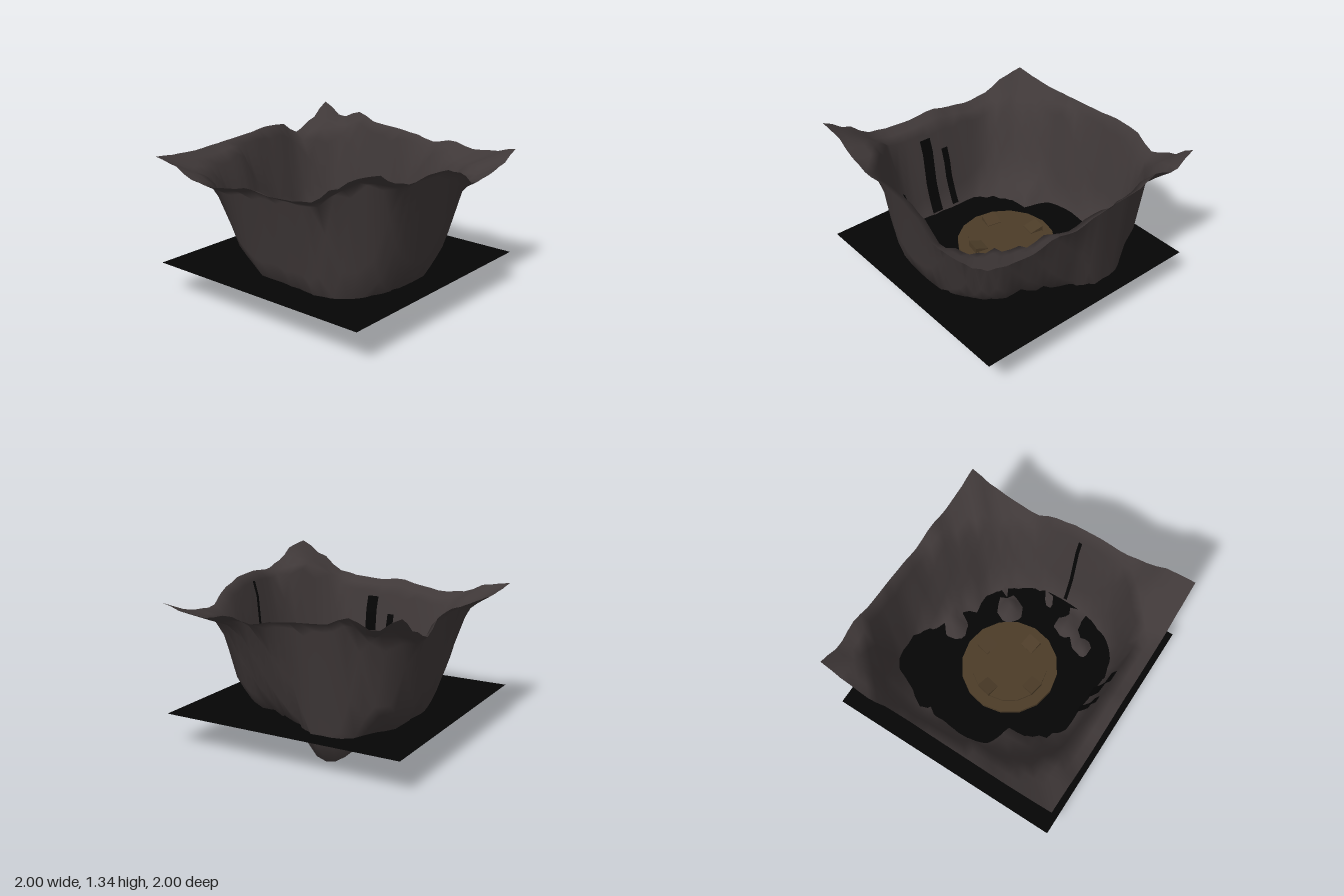
import * as THREE from 'three';

const POOL_Y = 0.265;

// Height along each border of the ground, from -1 to +1
const EDGES = {
  front: [1.14, 1.11, 1.03, 1.01, 1.04, 1.08, 1.06, 1.07, 1.1, 1.23, 1.34],
  back: [1.25, 1.14, 1.21, 1.14, 1.13, 1.11, 1.07, 1.11, 1.07, 1.09, 1.14],
  left: [1.14, 1.05, 1.01, 0.99, 1.12, 1.18, 1.19, 1.17, 1.22, 1.32, 1.34],
  right: [1.25, 1.12, 1.04, 1.15, 1.16, 1.14, 1.13, 1.12, 1.11, 1.12, 1.14],
};
// Radius of the cliff at its foot, a third of the way up and at its top,
// every 15 degrees from +x towards +z
const FOOT = [0.78, 0.79, 0.83, 0.87, 0.83, 0.73, 0.69, 0.71, 0.66, 0.57, 0.52, 0.69,
  0.71, 0.71, 0.82, 0.82, 0.94, 0.87, 0.71, 0.65, 0.62, 0.7, 0.73, 0.76];
const MID = [0.86, 0.88, 0.92, 0.92, 0.89, 0.81, 0.785, 0.81, 0.84, 0.82, 0.82, 0.8,
  0.82, 0.87, 0.97, 1.03, 0.985, 0.91, 0.82, 0.78, 0.78, 0.85, 0.87, 0.85];
const TOP = [0.91, 0.93, 0.97, 0.97, 0.94, 0.86, 0.845, 0.86, 0.95, 1.0, 0.96, 0.87,
  0.89, 0.95, 1.04, 1.09, 1.02, 0.95, 0.89, 0.89, 0.9, 0.94, 0.93, 0.92];
const MID_RISE = 0.35;
// Mounds and hollows of the crater floor: x, z, height, spread
const FLOOR = [
  [-0.28, 0.36, -0.17, 0.15], [-0.29, -0.76, -0.13, 0.19],
  [0.05, -0.58, 0.2, 0.125], [0.44, -0.28, 0.2, 0.13], [0.28, -0.52, 0.13, 0.05],
  [0.68, -0.04, 0.15, 0.06], [0.56, 0.19, 0.16, 0.12], [0.67, 0.24, 0.1, 0.07], [0.48, 0.42, 0.17, 0.1],
  [-0.66, -0.34, 0.14, 0.08],
];

const smooth = (t) => t * t * (3 - 2 * t);

function sample(list, u, closed) {
  const i = closed ? Math.floor(u) : Math.min(Math.floor(u), list.length - 2);
  const a = list[i % list.length], b = list[(i + 1) % list.length];
  return THREE.MathUtils.lerp(a, b, smooth(u - i));
}

function borderHeight(x, z) {
  const m = Math.max(Math.abs(x), Math.abs(z));
  const at = (list, s) => sample(list, THREE.MathUtils.clamp((s / m + 1) * 5, 0, 10), false);
  if (Math.abs(x) >= Math.abs(z)) return at(x > 0 ? EDGES.left : EDGES.right, z);
  return at(z > 0 ? EDGES.front : EDGES.back, x);
}

// Crater rule: uneven floor, steep cliff, then a flaring rim
function groundHeight(x, z) {
  const r = Math.hypot(x, z);
  const u = ((Math.atan2(z, x) / (Math.PI * 2) + 1) % 1) * 24;
  const [foot, mid, top] = [FOOT, MID, TOP].map((list) => sample(list, u, true));

  if (r < foot) {
    let y = 0.17;
    for (const [cx, cz, h, s] of FLOOR) {
      y += h * Math.exp(-((x - cx) ** 2 + (z - cz) ** 2) / (s * s));
    }
    const blend = Math.min((foot - r) / 0.07, 1);
    return Math.max(0, THREE.MathUtils.lerp(POOL_Y, y, smooth(blend)));
  }
  const border = borderHeight(x, z);
  const reach = r / Math.max(Math.abs(x), Math.abs(z));
  const lip = border - 0.07 - 0.25 * (reach - 1);
  if (r < top) {
    const rise = r < mid
      ? MID_RISE * Math.pow((r - foot) / (mid - foot), 1.3)
      : MID_RISE + (1 - MID_RISE) * (r - mid) / (top - mid);
    return THREE.MathUtils.lerp(POOL_Y, lip, rise);
  }
  return THREE.MathUtils.lerp(lip, border, Math.min((r - top) / (reach - top), 1));
}

function makeMesh(name, geometry, color, flat = false) {
  const material = new THREE.MeshStandardMaterial({ color, side: THREE.DoubleSide, flatShading: flat });
  const mesh = new THREE.Mesh(geometry, material);
  mesh.name = name;
  return mesh;
}

// Dark ribbon running down the cliff at a given angle, from radius r1 in to r0
function makeFall(angle, offset, width, r0, r1, topY) {
  const geometry = new THREE.PlaneGeometry(width, 1, 1, 12);
  const pos = geometry.attributes.position;
  const c = Math.cos(angle), s = Math.sin(angle);
  for (let i = 0; i < pos.count; i++) {
    const t = 0.5 - pos.getY(i);
    const across = pos.getX(i) + offset;
    const r = THREE.MathUtils.lerp(r1, r0, t);
    const ground = groundHeight(c * r - s * offset, s * r + c * offset);
    const y = t === 0 ? topY : Math.min(ground + 0.02, topY);
    const shift = t === 0 ? r : r - 0.025;
    pos.setXYZ(i, c * shift - s * across, y, s * shift + c * across);
  }
  geometry.computeVertexNormals();
  return makeMesh('cliffFall', geometry, 0x050505);
}

export function createModel() {
  const model = new THREE.Group();
  model.name = 'crater';

  // Ground sheet shaped into the crater
  const ground = new THREE.PlaneGeometry(2, 2, 25, 25).rotateX(-Math.PI / 2);
  const pos = ground.attributes.position;
  for (let i = 0; i < pos.count; i++) pos.setY(i, groundHeight(pos.getX(i), pos.getZ(i)));
  ground.computeVertexNormals();
  model.add(makeMesh('craterGround', ground, 0x3f3838));

  // Flat dark pool cutting through the crater
  const pool = makeMesh('pool', new THREE.PlaneGeometry(2, 2).rotateX(-Math.PI / 2), 0x050505);
  pool.position.y = POOL_Y;
  model.add(pool);

  // Falls down the front and left cliffs
  model.add(makeFall(Math.PI / 2, -0.18, 0.1, 0.71, 0.83, 0.94));
  model.add(makeFall(Math.PI / 2, 0, 0.06, 0.7, 0.81, 0.8));
  model.add(makeFall(0, 0.07, 0.03, 0.79, 0.91, 1.13));

  // Round platform with a raised centre and four wedges rising outwards
  const platform = new THREE.Group();
  platform.name = 'platform';
  platform.position.y = POOL_Y;
  const wood = 0x4c3c28;
  const base = makeMesh('platformBase', new THREE.CylinderGeometry(0.4, 0.4, 0.04, 16), wood, true);
  base.position.y = 0.02;
  const step = makeMesh('platformStep', new THREE.CylinderGeometry(0.31, 0.31, 0.02, 16), wood, true);
  step.position.y = 0.05;
  platform.add(base, step);
  const profile = new THREE.Shape();
  profile.moveTo(0.2, 0.05).lineTo(0.31, 0.05).lineTo(0.31, 0.1).lineTo(0.2, 0.065);
  const wedgeGeometry = new THREE.ExtrudeGeometry(profile, { depth: 0.12, bevelEnabled: false });
  wedgeGeometry.translate(0, 0, -0.06);
  for (let i = 0; i < 4; i++) {
    const wedge = makeMesh('wedge', wedgeGeometry, wood, true);
    wedge.rotation.y = -0.19 - i * Math.PI / 2;
    platform.add(wedge);
  }
  model.add(platform);

  return model;
}
